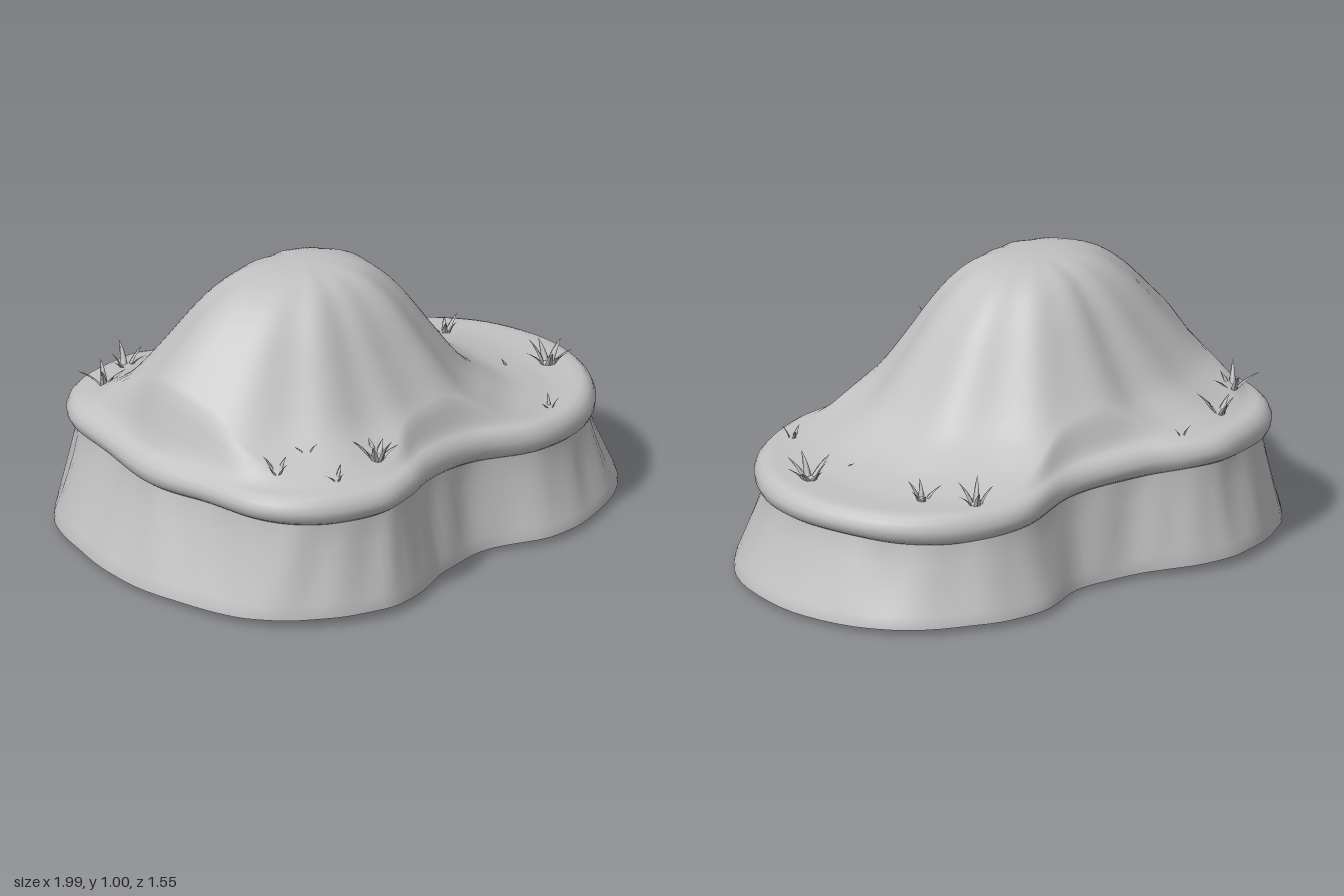
import * as THREE from 'three';

const CX = -0.2; // summit position on x
const N = 128;   // segments around each ring

// Half outlines (back side, from left to right), mirrored in z
const capHalf = [[-0.92, 0], [-0.88, -0.24], [-0.83, -0.51], [-0.67, -0.68], [-0.44, -0.74], [-0.28, -0.71],
  [-0.11, -0.61], [0.16, -0.54], [0.43, -0.57], [0.67, -0.48], [0.86, -0.27], [0.92, 0]];
const footHalf = [[-1, 0], [-0.95, -0.33], [-0.87, -0.55], [-0.69, -0.71], [-0.45, -0.78], [-0.27, -0.74],
  [-0.09, -0.64], [0.16, -0.575], [0.4, -0.635], [0.64, -0.57], [0.9, -0.36], [1, 0]];

function outline(half) {
  const all = half.concat(half.slice(1, -1).reverse().map(([x, z]) => [x, -z]));
  const curve = new THREE.CatmullRomCurve3(all.map(([x, z]) => new THREE.Vector3(x, 0, z)), true, 'catmullrom', 0.5);
  return Array.from({ length: N }, (_, i) => curve.getPoint(i / N));
}

// Skin a list of closed rings, ordered from the top centre outwards and down
function skin(rings) {
  const pos = [], index = [];
  rings.forEach(r => r.forEach(p => pos.push(p.x, p.y, p.z)));
  for (let j = 0; j < rings.length - 1; j++) {
    for (let i = 0; i < N; i++) {
      const k = (i + 1) % N, a = j * N, b = a + N;
      index.push(a + i, b + k, b + i, a + i, a + k, b + k);
    }
  }
  const g = new THREE.BufferGeometry();
  g.setAttribute('position', new THREE.Float32BufferAttribute(pos, 3));
  g.setIndex(index);
  g.computeVertexNormals();
  return g;
}

// Height of the ledge: higher on the left lobe than on the right
const ledge = x => 0.465 - 0.06 * THREE.MathUtils.smoothstep(x, -0.25, 0.6);

// Bell profile of the mound: [distance in half widths, height fraction]
const bell = [[0, 1], [0.25, 0.99], [0.45, 0.95], [0.6, 0.88], [0.8, 0.72], [1, 0.5], [1.3, 0.2], [1.65, 0.05], [2, 0], [9, 0]];
function bellAt(u) {
  let i = 0;
  while (i < bell.length - 2 && u > bell[i + 1][0]) i++;
  const [u0, h0] = bell[i], [u1, h1] = bell[i + 1];
  return h0 + (h1 - h0) * Math.min(1, (u - u0) / (u1 - u0));
}

function groundHeight(x, z, fade = 1) {
  const dx = x - CX, a = Math.atan2(z, dx);
  let u = Math.hypot(dx / (dx > 0 ? 0.46 : 0.54), z / 0.365);
  u *= 1 + 0.03 * Math.sin(5 * a + 0.6) * Math.sin(a) + 0.018 * Math.sin(11 * a + 1);
  // smooth the bell profile a little
  const f = (bellAt(Math.max(0, u - 0.1)) + 2 * bellAt(u) + bellAt(u + 0.1)) / 4;
  return ledge(x) + (1.005 - ledge(x)) * f * fade;
}

// Pull an outline point towards the summit axis by a distance
function inset(p, d) {
  const r = Math.hypot(p.x - CX, p.z), k = 1 - d / r;
  return new THREE.Vector3(CX + (p.x - CX) * k, 0, p.z * k);
}

const lump = (i, f, ph) => Math.sin(i / N * Math.PI * 2 * f + ph);

// Small seeded generator for the grass
function seeded(seed) {
  return () => (seed = (seed * 16807) % 2147483647) / 2147483647;
}

function bladeGeometry(length, width, bend) {
  const g = new THREE.ConeGeometry(width, length, 4, 4).translate(0, length / 2, 0);
  const p = g.attributes.position;
  for (let i = 0; i < p.count; i++) {
    const t = p.getY(i) / length;
    p.setXYZ(i, p.getX(i) * (1 + 0.8 * t), p.getY(i), p.getZ(i) * 0.35 + bend * t * t);
  }
  g.computeVertexNormals();
  return g;
}

export function createModel() {
  const model = new THREE.Group();
  const stone = new THREE.MeshStandardMaterial({ color: 0xc2c2c2 });
  stone.name = 'plain grey';
  const add = (name, geometry, parent = model) => {
    const m = new THREE.Mesh(geometry, stone);
    m.name = name;
    parent.add(m);
    return m;
  };
  const cap = outline(capHalf), foot = outline(footHalf);

  // Mound with its rolled rim
  const capRings = [];
  const steps = 36;
  for (let j = 0; j <= steps; j++) {
    const s = j / steps;
    capRings.push(cap.map(p => {
      const q = inset(p, 0.05);
      const x = CX + (q.x - CX) * s, z = q.z * s;
      const fade = 1 - THREE.MathUtils.smoothstep(s, 0.88, 1);
      return new THREE.Vector3(x, groundHeight(x, z, fade), z);
    }));
  }
  const rim = [[0.028, 0.008], [0.01, 0.026], [0, 0.05], [0.003, 0.072], [0.015, 0.092], [0.035, 0.105], [0.06, 0.1]];
  for (const [d, drop] of rim) {
    capRings.push(cap.map((p, i) => {
      const q = inset(p, d + 0.003 * lump(i, 13, 1));
      q.y = ledge(p.x) - drop - 0.006 * lump(i, 7, 2) * (drop / 0.1);
      return q;
    }));
  }
  add('moundCap', skin(capRings));

  // Flared rocky wall
  const footY = p => 0.015 * p.x * p.x + 0.045 * p.z * p.z;
  const wall = [[0, 0], [0.12, 0.04], [0.3, 0.2], [0.5, 0.42], [0.7, 0.66], [0.86, 0.88], [0.94, 0.97], [1, 1]];
  const wallRings = wall.map(([t, out]) => cap.map((p, i) => {
    const top = inset(p, 0.03), f = foot[i];
    const q = top.clone().lerp(f, out);
    const rough = (0.007 * lump(i, 17, 0.5) * lump(i, 5, 2) + 0.005 * lump(i, 29, 1)) * Math.sin(Math.PI * Math.min(t, 0.93));
    const r = inset(q, 0.004 + rough);
    r.y = THREE.MathUtils.lerp(ledge(p.x) - 0.09, footY(f), t);
    return r;
  }));
  add('rockWall', skin(wallRings));

  // Shallow curved underside
  const edge = wallRings[wallRings.length - 1];
  const under = [1, 0.75, 0.5, 0.25, 0].map(s => edge.map(p => {
    const q = new THREE.Vector3(CX + (p.x - CX) * s, 0, p.z * s);
    q.y = s === 1 ? p.y : p.y * s * s;
    return q;
  }));
  add('underside', skin(under));

  // Grass tufts: x, z, blades, size
  const tufts = [[-0.68, -0.5, 5, 0.08], [-0.51, -0.6, 5, 0.08], [-0.29, -0.63, 2, 0.04], [0.54, -0.44, 5, 0.08],
    [0.64, -0.28, 5, 0.07], [0.61, 0.11, 1, 0.04], [0.76, 0.14, 7, 0.09], [0.53, 0.44, 3, 0.05],
    [-0.34, 0.58, 7, 0.09], [-0.54, 0.61, 3, 0.05], [-0.69, 0.47, 4, 0.06], [-0.56, 0.47, 2, 0.04]];
  const rand = seeded(77);
  for (const [x, z, count, size] of tufts) {
    const tuft = new THREE.Group();
    tuft.name = 'grassTuft';
    tuft.position.set(x, groundHeight(x, z) - 0.008, z);
    for (let i = 0; i < count; i++) {
      const len = size * (0.8 + 0.4 * rand());
      const blade = add('grassBlade', bladeGeometry(len, size * 0.15, len * 0.3), tuft);
      const a = (i + 0.5 * rand()) / count * Math.PI * 2;
      blade.rotation.set(0.25 + 0.45 * rand(), a, 0, 'YXZ');
      blade.position.set(Math.sin(a) * size * 0.2, 0, Math.cos(a) * size * 0.2);
    }
    model.add(tuft);
  }
  return model;
}
